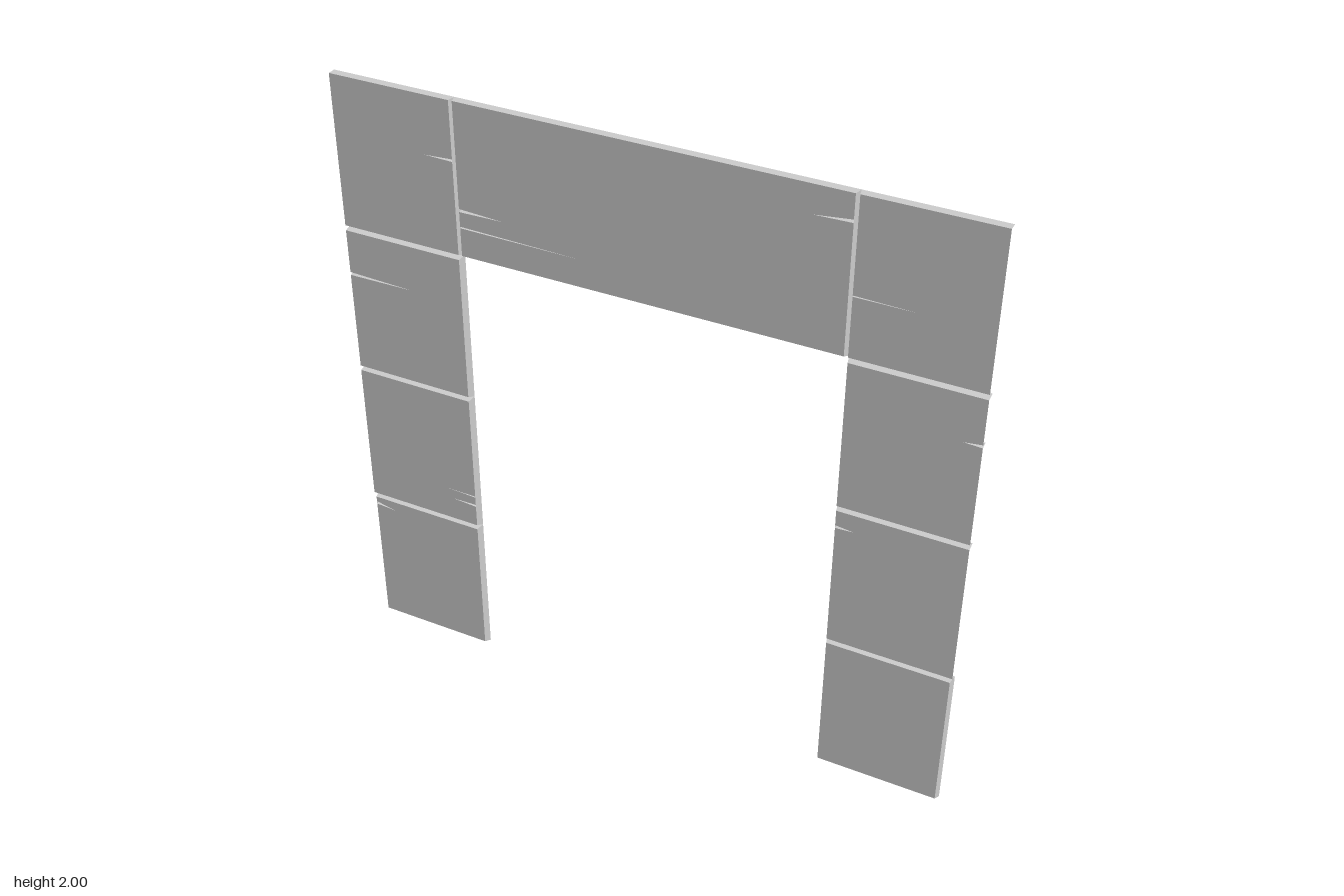
import * as THREE from 'three';

const F = 0.013, B = -0.013; // front and back depth
const IN = 0.006, BOT = 0.011; // bevel insets: sides and top, underside

const material = new THREE.MeshStandardMaterial({ color: 0xcccccc, flatShading: true, side: THREE.DoubleSide });

// Mesh from a list of triangles, each three [x, y, z] corners
function triMesh(name, tris) {
  const g = new THREE.BufferGeometry();
  g.setAttribute('position', new THREE.Float32BufferAttribute(tris.flat(2), 3));
  g.computeVertexNormals();
  const m = new THREE.Mesh(g, material);
  m.name = name;
  return m;
}

// One stone: a front plate with cracked edges and bevelled rims running to the open back.
// rims gives the inset of each side; a missing side has no rim.
// cracks: { side, y, tip: [x, y], w }
function stone({ name, x0, x1, y0, y1, rims, cracks = [] }) {
  const group = new THREE.Group();
  group.name = name;
  const l = x0 + (rims.left ?? 0), r = x1 - (rims.right ?? 0);
  const b = y0 + (rims.bottom ?? 0), t = y1 - (rims.top ?? 0);

  // Plate outline, notched at each crack
  const pts = [[l, b], [r, b]];
  const notch = (c, x, dir) => pts.push([x, c.y - dir * c.w / 2], c.tip, [x, c.y + dir * c.w / 2]);
  const on = (side) => cracks.filter((c) => c.side === side).sort((p, q) => p.y - q.y);
  on('right').forEach((c) => notch(c, r, 1));
  pts.push([r, t], [l, t]);
  on('left').reverse().forEach((c) => notch(c, l, -1));
  const shape = new THREE.Shape(pts.map(([x, y]) => new THREE.Vector2(x, y)));
  const plate = new THREE.Mesh(new THREE.ShapeGeometry(shape).translate(0, 0, F), material);
  plate.name = 'frontPlate';
  group.add(plate);

  // Sloping rims
  const front = [[l, b, F], [r, b, F], [r, t, F], [l, t, F]];
  const back = [[x0, y0, B], [x1, y0, B], [x1, y1, B], [x0, y1, B]];
  const tris = [];
  ['bottom', 'right', 'top', 'left'].forEach((side, i) => {
    if (rims[side] === undefined) return;
    const j = (i + 1) % 4;
    tris.push([front[i], back[i], back[j]], [front[i], back[j], front[j]]);
  });
  group.add(triMesh('rims', tris));

  // Wedge-shaped crack walls
  for (const { side, y, tip, w } of cracks) {
    const x = side === 'left' ? l : r;
    const deep = [x, y, B + 0.004], end = [...tip, F];
    const up = [x, y + w / 2, F], low = [x, y - w / 2, F];
    group.add(triMesh('crack', side === 'left'
      ? [[up, deep, end], [deep, low, end]]
      : [[up, end, deep], [deep, end, low]]));
  }
  return group;
}

export function createModel() {
  const model = new THREE.Group();
  model.name = 'doorFrame';

  // Cracks of each leg, from the bottom stone to the top one
  const legCracks = {
    right: [
      [{ side: 'left', y: 0.47, tip: [-0.92, 0.46], w: 0.01 }],
      [{ side: 'right', y: 0.59, tip: [-0.69, 0.592], w: 0.008 },
        { side: 'right', y: 0.625, tip: [-0.71, 0.628], w: 0.004 }],
      [{ side: 'left', y: 1.345, tip: [-0.78, 1.343], w: 0.01 }],
      [{ side: 'right', y: 1.815, tip: [-0.7, 1.813], w: 0.008 }],
    ],
    left: [
      [],
      [{ side: 'left', y: 0.937, tip: [0.665, 0.935], w: 0.01 }],
      [{ side: 'right', y: 1.345, tip: [0.945, 1.343], w: 0.01 }],
      [{ side: 'left', y: 1.702, tip: [0.78, 1.7], w: 0.004 }],
    ],
  };

  // Legs of four stacked stones; only the lowest has a rim on the outer side
  for (const [legName, sign] of [['right', -1], ['left', 1]]) {
    const [inner, outer] = sign < 0 ? ['right', 'left'] : ['left', 'right'];
    for (let i = 0; i < 4; i++) {
      const rims = { bottom: BOT, top: i === 3 ? 0 : IN, [inner]: IN };
      if (i === 0) rims[outer] = IN;
      model.add(stone({
        name: `${legName}LegStone${i + 1}`,
        x0: sign < 0 ? -1 : 0.6, x1: sign < 0 ? -0.6 : 1,
        y0: i * 0.5, y1: (i + 1) * 0.5,
        rims, cracks: legCracks[legName][i],
      }));
    }
  }

  // Lintel between the two top stones
  model.add(stone({
    name: 'lintel', x0: -0.6, x1: 0.6, y0: 1.5, y1: 2,
    rims: { left: IN, right: IN, bottom: BOT, top: 0 },
    cracks: [
      { side: 'left', y: 1.605, tip: [-0.2, 1.6], w: 0.005 },
      { side: 'left', y: 1.66, tip: [-0.45, 1.658], w: 0.01 },
      { side: 'right', y: 1.92, tip: [0.48, 1.912], w: 0.01 },
    ],
  }));
  return model;
}
